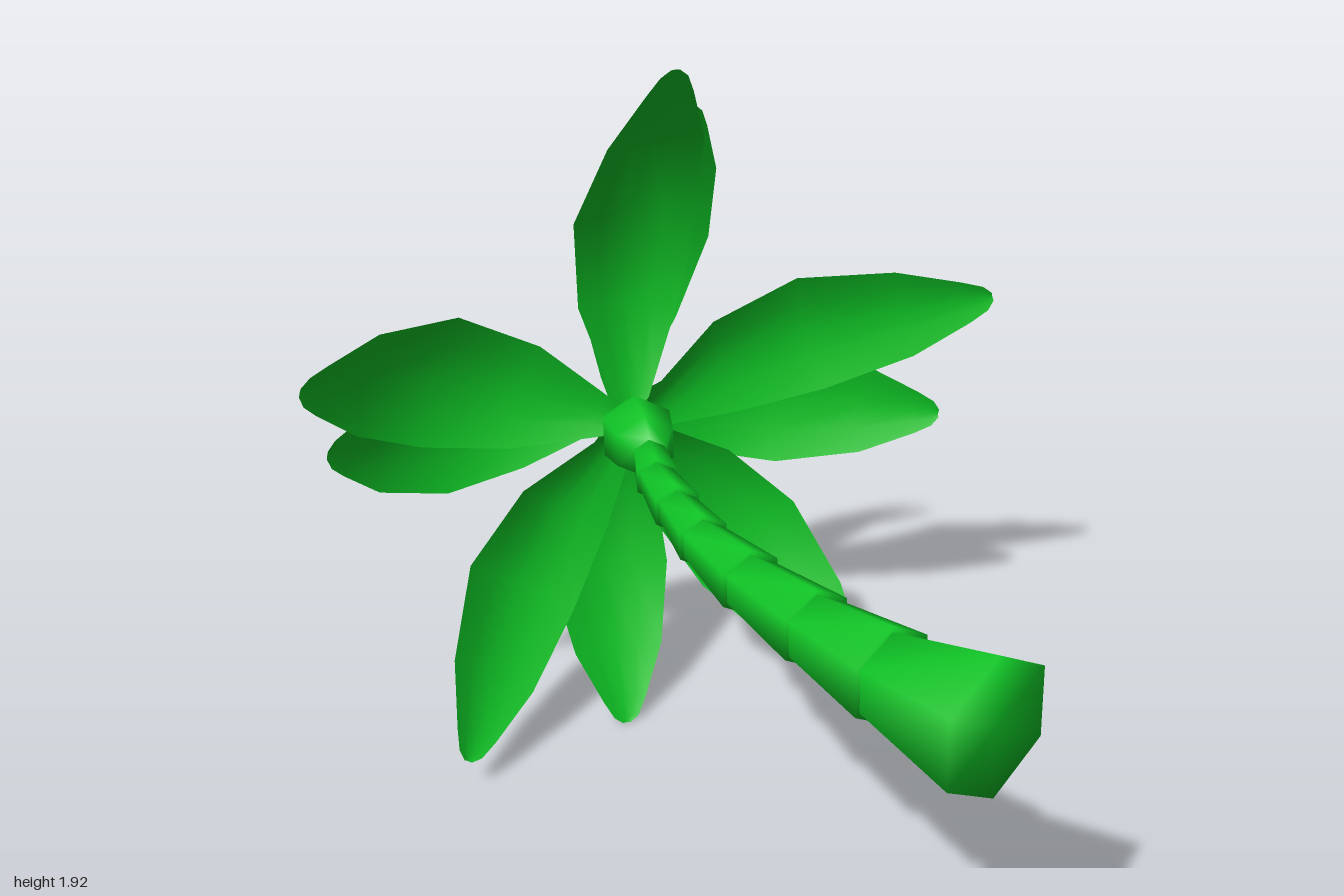
import * as THREE from 'three';

const SIDES = 6;
const TRUNK_Y = 0.895;
const UP = new THREE.Vector3(0, 1, 0);
const CROWN_AXIS = new THREE.Vector3(0.3, 0, -0.95).normalize();

function buildGeometry(positions, index) {
  const g = new THREE.BufferGeometry();
  g.setAttribute('position', new THREE.Float32BufferAttribute(positions, 3));
  g.setIndex(index);
  g.computeVertexNormals();
  return g;
}

// Closed six-sided loft through rings [x, z, radius], each facing along its dir
function loft(rings, dirs) {
  const pos = [], idx = [];
  rings.forEach(([x, z, r], k) => {
    const side = new THREE.Vector3().crossVectors(dirs[k], UP).normalize();
    for (let i = 0; i < SIDES; i++) {
      const a = (i / SIDES) * Math.PI * 2;
      const s = Math.sin(a) * r;
      pos.push(x + side.x * s, TRUNK_Y + Math.cos(a) * r, z + side.z * s);
    }
  });
  const first = rings[0], last = rings[rings.length - 1];
  const c0 = pos.length / 3, c1 = c0 + 1;
  pos.push(first[0], TRUNK_Y, first[1], last[0], TRUNK_Y, last[1]);
  const end = (rings.length - 1) * SIDES;
  for (let i = 0; i < SIDES; i++) {
    const j = (i + 1) % SIDES;
    for (let k = 0; k < rings.length - 1; k++) {
      const a = k * SIDES, b = a + SIDES;
      idx.push(a + i, a + j, b + i, a + j, b + j, b + i);
    }
    idx.push(c0, j, i, c1, end + i, end + j);
  }
  return buildGeometry(pos, idx);
}

// Arched leaf blade: a spine that rises from the root and droops to the tip,
// with width stations [fraction, half width] and edges curling down
function leafGeometry(root, mid, tip) {
  const shoulder = root.clone().lerp(mid, 0.5).addScaledVector(CROWN_AXIS, 0.045);
  const spine = new THREE.CatmullRomCurve3([root, shoulder, mid, tip]);
  const stations = [
    [0, 0.02], [0.1, 0.065], [0.3, 0.148], [0.53, 0.182],
    [0.77, 0.136], [0.93, 0.065], [0.98, 0.038], [1, 0.012],
  ];
  const across = [-1, -0.5, 0, 0.5, 1];
  const n = across.length;
  const pos = [], idx = [];
  stations.forEach(([t, half], k) => {
    const p = spine.getPointAt(t);
    const w = new THREE.Vector3().crossVectors(CROWN_AXIS, spine.getTangentAt(t)).normalize();
    for (const s of across) {
      const q = p.clone().addScaledVector(w, s * half)
        .addScaledVector(CROWN_AXIS, (0.4 - s * s) * half * 0.24);
      pos.push(q.x, q.y, q.z);
    }
    if (k === 0) return;
    for (let i = 0; i < n - 1; i++) {
      const a = (k - 1) * n + i, b = a + n;
      idx.push(a, b, a + 1, a + 1, b, b + 1);
    }
  });
  return buildGeometry(pos, idx);
}

export function createModel() {
  const model = new THREE.Group();
  model.name = 'palmTree';
  const green = new THREE.MeshStandardMaterial({ color: 0x0fc526, side: THREE.DoubleSide });
  green.name = 'palmGreen';

  const add = (geometry, name, parent) => {
    const mesh = new THREE.Mesh(geometry, green);
    mesh.name = name;
    parent.add(mesh);
  };

  // Trunk: tapering segments, each one flared over the end of the last
  const trunk = new THREE.Group();
  trunk.name = 'trunk';
  model.add(trunk);
  // joint x, joint z, radius at segment start, radius at segment end
  const joints = [
    [-0.49, 1.0, 0.172, 0.108], [-0.483, 0.71, 0.122, 0.088],
    [-0.447, 0.455, 0.1, 0.073], [-0.394, 0.195, 0.086, 0.06],
    [-0.325, -0.035, 0.071, 0.053], [-0.247, -0.21, 0.066, 0.05],
    [-0.165, -0.375, 0.06, 0.046], [-0.07, -0.51],
  ];
  const curve = new THREE.CatmullRomCurve3(joints.map(([x, z]) => new THREE.Vector3(x, 0, z)));
  const last = joints.length - 1;
  for (let i = 0; i < last; i++) {
    const [x0, z0, r0, r1] = joints[i];
    const [x1, z1] = joints[i + 1];
    const d0 = curve.getTangent(i / last), d1 = curve.getTangent((i + 1) / last);
    if (i === 0) d0.set(0.03, 0, -1).normalize();
    add(loft([[x0, z0, r0], [x1, z1, r1]], [d0, d1]), `trunkSegment${i + 1}`, trunk);
  }

  // Swollen crown bud where the leaves meet
  const budDir = new THREE.Vector3(0.45, 0, -0.89).normalize();
  const bud = [[-0.078, -0.495, 0.05], [-0.047, -0.55, 0.09], [0, -0.635, 0.107], [0.04, -0.72, 0.065], [0.05, -0.745, 0.02]];
  add(loft(bud, bud.map(() => budDir)), 'crownBud', model);

  // Two whorls of leaves: root, then the middle point and tip of each spine
  const whorls = {
    lowerLeaf: {
      root: [0.02, 0.9, -0.67],
      leaves: [
        [[0.1, 1.43, -0.74], [0.02, 1.915, -0.46]],
        [[-0.46, 1.11, -0.915], [-0.91, 1.24, -0.81]],
        [[0.53, 1.04, -0.575], [0.91, 1.17, -0.14]],
        [[-0.25, 0.47, -0.855], [-0.6, 0.09, -0.7]],
        [[0.37, 0.45, -0.62], [0.52, 0.04, -0.28]],
      ],
    },
    upperLeaf: {
      root: [0.05, 0.9, -0.76],
      leaves: [
        [[0.18, 1.34, -0.795], [0.16, 1.785, -0.56]],
        [[-0.4, 0.93, -0.975], [-0.8, 1.01, -0.9]],
        [[0.52, 0.82, -0.67], [0.87, 0.78, -0.29]],
        [[0.04, 0.42, -0.84], [-0.08, 0.0, -0.64]],
      ],
    },
  };
  const vec = (p) => new THREE.Vector3(...p);
  for (const [name, { root, leaves }] of Object.entries(whorls)) {
    const whorl = new THREE.Group();
    whorl.name = `${name}Whorl`;
    model.add(whorl);
    leaves.forEach(([mid, tip], i) => {
      add(leafGeometry(vec(root), vec(mid), vec(tip)), `${name}${i + 1}`, whorl);
    });
  }

  return model;
}
